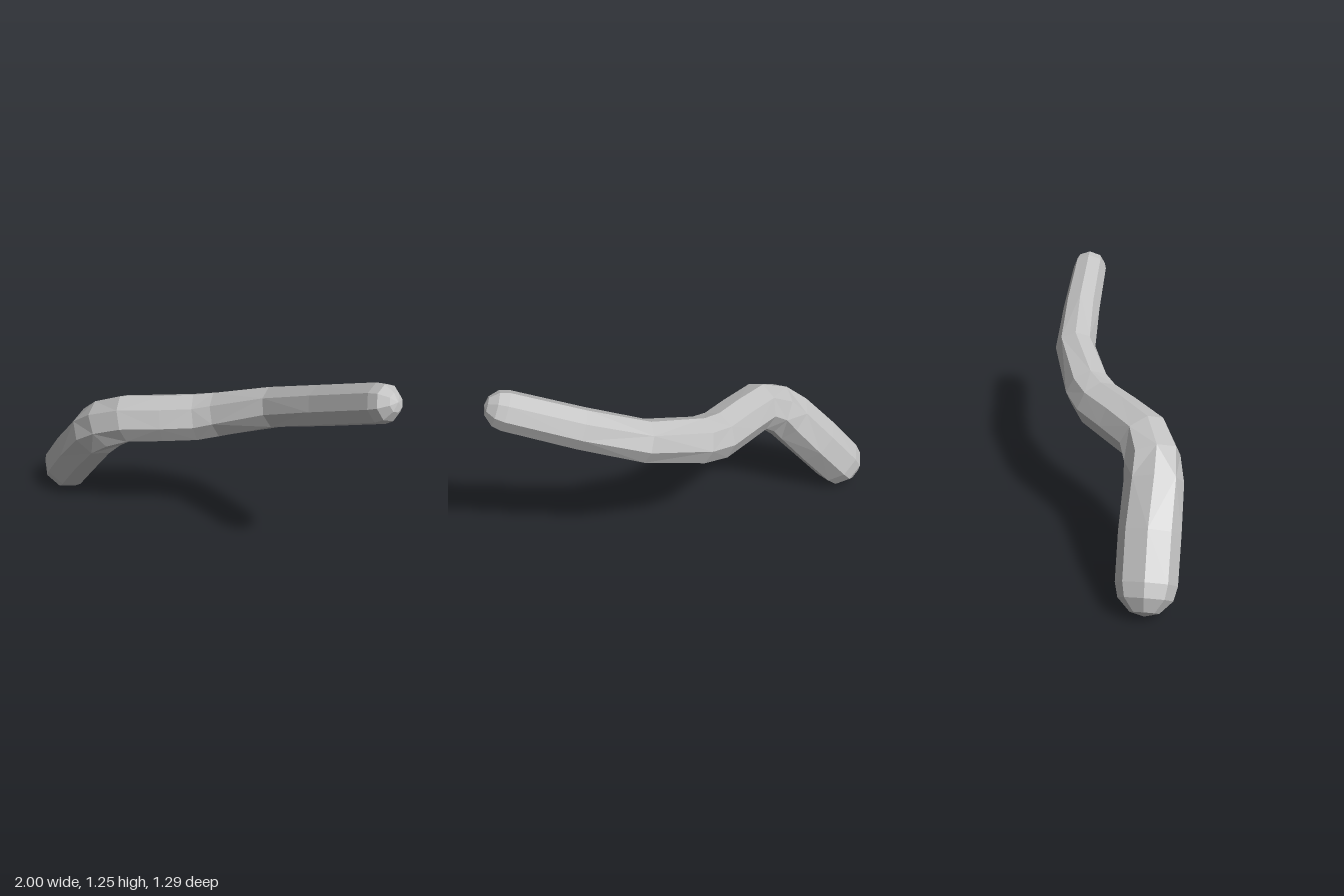
import * as THREE from 'three';

const SIDES = 8;

// Centre line with radius: x, y, z, r (thick lower end to slim raised end)
const SPINE = [
  [-0.845, 0.16, -0.49, 0.157],
  [-0.73, 0.35, -0.37, 0.16],
  [-0.61, 0.54, -0.24, 0.155],
  [-0.53, 0.625, -0.18, 0.15],
  [-0.41, 0.685, -0.135, 0.143],
  [-0.2, 0.7, -0.12, 0.141],
  [0.0, 0.715, -0.11, 0.14],
  [0.13, 0.75, -0.08, 0.134],
  [0.43, 0.872, 0.06, 0.118],
  [0.66, 1.0, 0.285, 0.112],
  [0.905, 1.15, 0.545, 0.105],
];

// Cross-section rings, with rounded caps at both ends
function buildRings() {
  const centres = SPINE.map(p => new THREE.Vector3(p[0], p[1], p[2]));
  const last = centres.length - 1;
  const rings = [];
  const up = new THREE.Vector3(0, 1, 0);
  const addRing = (centre, tangent, radius) => {
    const u = up.clone().addScaledVector(tangent, -up.dot(tangent)).normalize();
    const v = tangent.clone().cross(u);
    const ring = [];
    for (let j = 0; j < SIDES; j++) {
      const a = (j / SIDES) * Math.PI * 2;
      ring.push(centre.clone()
        .addScaledVector(u, radius * Math.cos(a))
        .addScaledVector(v, radius * Math.sin(a)));
    }
    rings.push(ring);
  };
  const addCap = (i, t, angles) => angles.forEach(deg => {
    const a = THREE.MathUtils.degToRad(deg), r = SPINE[i][3];
    addRing(centres[i].clone().addScaledVector(t, r * Math.sin(a)), t, r * Math.cos(a));
  });

  centres.forEach((c, i) => {
    const before = centres[Math.max(i - 1, 0)], after = centres[Math.min(i + 1, last)];
    const t1 = c.clone().sub(before).normalize();
    const t2 = after.clone().sub(c).normalize();
    const t = t1.add(t2).normalize();
    if (i === 0) addCap(i, t, [-90, -62, -28]);
    addRing(c, t, SPINE[i][3]);
    if (i === last) addCap(i, t, [28, 62, 90]);
  });
  return rings;
}

// Skin the rings with separate triangles for faceted shading
function skin(rings) {
  const points = [];
  const tri = (a, b, c) => {
    if (a.distanceTo(b) > 1e-5 && b.distanceTo(c) > 1e-5 && c.distanceTo(a) > 1e-5) points.push(a, b, c);
  };
  for (let i = 0; i < rings.length - 1; i++) {
    for (let j = 0; j < SIDES; j++) {
      const k = (j + 1) % SIDES;
      const a = rings[i][j], b = rings[i][k], c = rings[i + 1][j], d = rings[i + 1][k];
      // Alternate the diagonals for an irregular, hand-cut look
      if ((i + j) % 2) { tri(a, b, c); tri(b, d, c); }
      else { tri(a, b, d); tri(a, d, c); }
    }
  }
  const geometry = new THREE.BufferGeometry().setFromPoints(points);
  geometry.computeVertexNormals();
  return geometry;
}

export function createModel() {
  const model = new THREE.Group();
  model.name = 'bentStick';
  const grey = new THREE.MeshStandardMaterial({ color: 0xc0c0c0, flatShading: true });
  grey.name = 'lightGrey';
  const stick = new THREE.Mesh(skin(buildRings()), grey);
  stick.name = 'stick';
  model.add(stick);
  return model;
}
